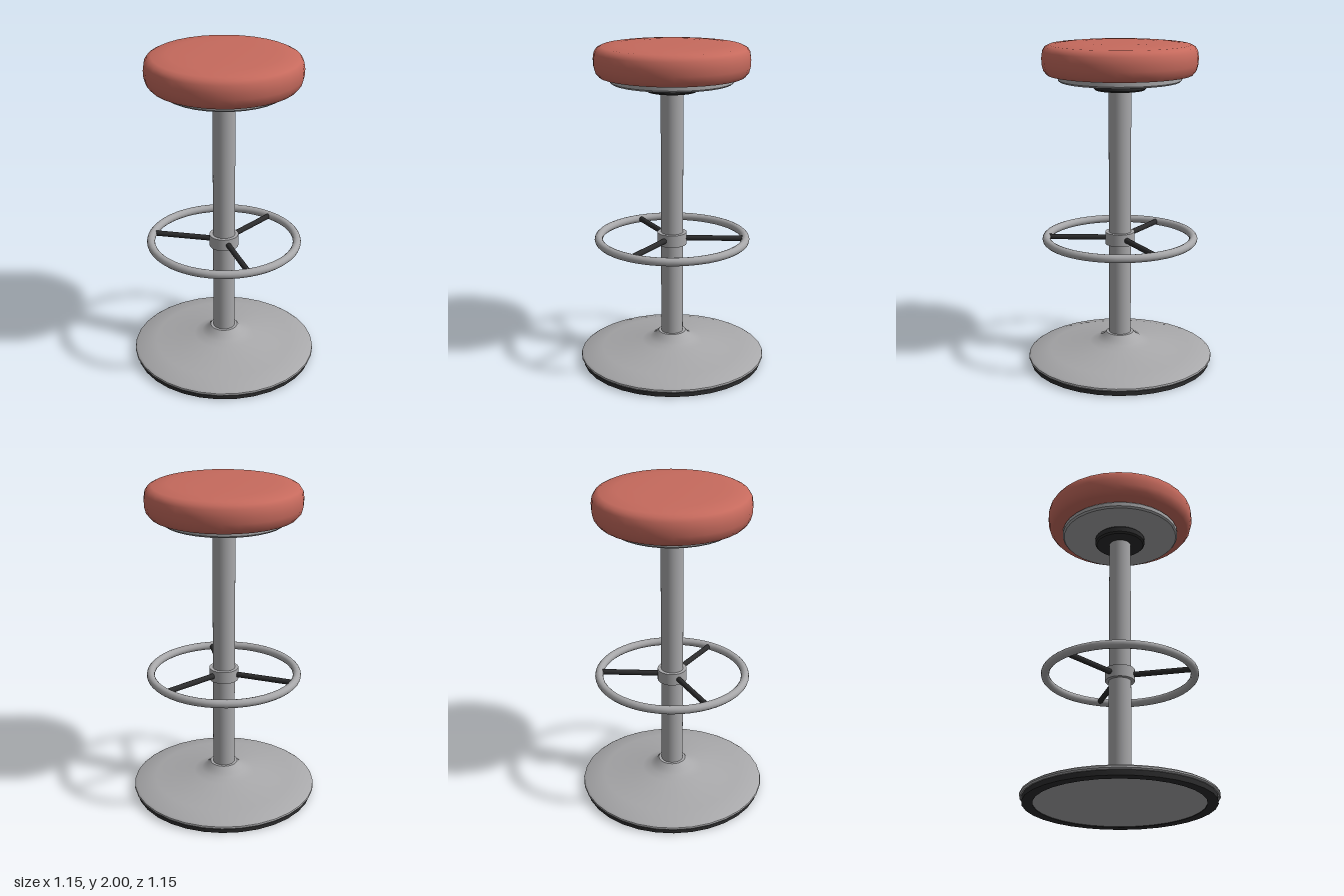
import * as THREE from 'three';
import { toCreasedNormals } from 'three/addons/utils/BufferGeometryUtils.js';

const SEGMENTS = 32;

export function createModel() {
  const stool = new THREE.Group();
  stool.name = 'barStool';

  const metal = new THREE.MeshStandardMaterial({ name: 'brushed metal', color: 0xa8a8aa });
  const dark = new THREE.MeshStandardMaterial({ name: 'black rubber', color: 0x2c2c2d });
  const cushion = new THREE.MeshStandardMaterial({ name: 'red cushion', color: 0xc66a5d });

  function add(name, geometry, material, parent = stool) {
    const mesh = new THREE.Mesh(geometry, material);
    mesh.name = name;
    parent.add(mesh);
    return mesh;
  }

  // Turned part: profile of [radius, y] from bottom to top
  function turned(name, profile, material, crease = 0.6) {
    const points = profile.map(([r, y]) => new THREE.Vector2(r, y));
    return add(name, toCreasedNormals(new THREE.LatheGeometry(points, SEGMENTS), crease), material);
  }

  // Solid disc with small bevelled rims
  function disc(name, radius, y0, y1, bevel, material) {
    return turned(name, [
      [0, y0], [radius - bevel, y0], [radius, y0 + bevel],
      [radius, y1 - bevel], [radius - bevel, y1], [0, y1],
    ], material);
  }

  // Base: rubber floor ring, underside and flared foot
  turned('floorRing', [
    [0.5, 0.005], [0.5, 0], [0.563, 0], [0.563, 0.032],
  ], dark);
  turned('baseUnderside', [[0, 0.004], [0.502, 0.004]], metal);
  turned('base', [
    [0.55, 0.03], [0.57, 0.03], [0.577, 0.038], [0.575, 0.048], [0.56, 0.058],
    [0.44, 0.082], [0.19, 0.122], [0.14, 0.138], [0.107, 0.16],
    [0.085, 0.187], [0.06, 0.187],
  ], metal);

  // Column
  const post = add('post', new THREE.CylinderGeometry(0.068, 0.068, 1.58, SEGMENTS), metal);
  post.position.y = 0.95;

  // Foot rest: hub, ring and three spokes
  const footRest = new THREE.Group();
  footRest.name = 'footRest';
  footRest.position.y = 0.802;
  stool.add(footRest);
  add('footRestHub', new THREE.CylinderGeometry(0.09, 0.09, 0.076, SEGMENTS), metal, footRest);
  const ring = add('footRestRing', new THREE.TorusGeometry(0.453, 0.025, 12, 48), metal, footRest);
  ring.rotation.x = Math.PI / 2;
  for (let i = 0; i < 3; i++) {
    const geometry = new THREE.CylinderGeometry(0.017, 0.017, 0.37, 12);
    geometry.rotateX(Math.PI / 2).translate(0, 0, 0.26);
    const spoke = add('footRestSpoke', geometry, dark, footRest);
    spoke.rotation.y = (i * Math.PI * 2) / 3;
  }

  // Seat support
  disc('swivelCollar', 0.158, 1.716, 1.768, 0.01, dark);
  disc('seatPlate', 0.37, 1.768, 1.812, 0.01, metal);

  // Cushion
  turned('seat', [
    [0, 1.81], [0.434, 1.81], [0.455, 1.835], [0.464, 1.87], [0.466, 1.91],
    [0.46, 1.95], [0.446, 1.972], [0.42, 1.985], [0.33, 1.994], [0.23, 1.999], [0, 2],
  ], cushion, 0.9);

  return stool;
}
